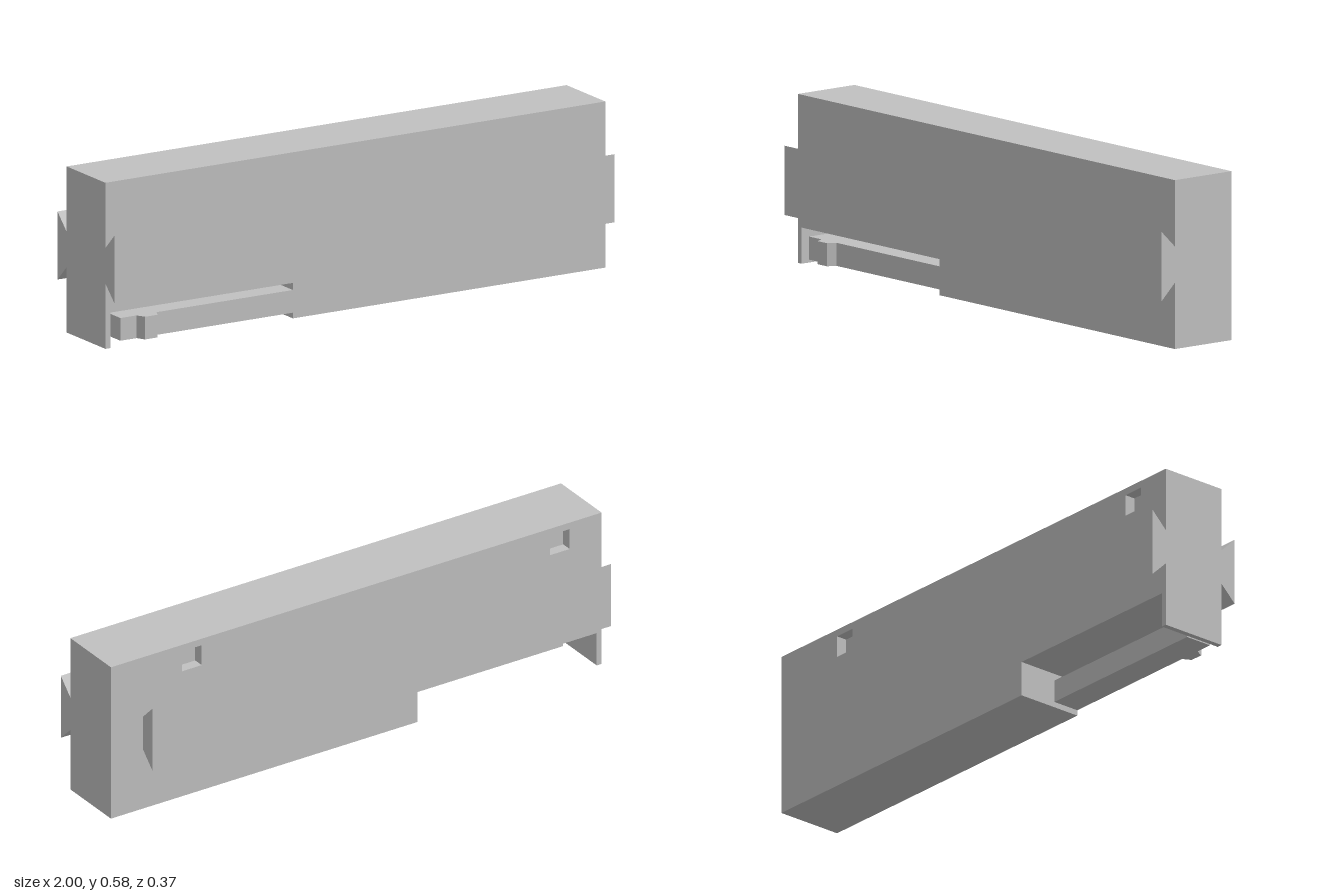
import * as THREE from 'three';

const gray = new THREE.MeshStandardMaterial({ color: 0xc0c0c0 });
gray.name = 'light gray plastic';

const toVectors = (points) => points.map(([x, y]) => new THREE.Vector2(x, y));

// Extrude a straight-sided outline along +z
function prism(points, depth, holes = []) {
  const shape = new THREE.Shape(toVectors(points));
  holes.forEach((h) => shape.holes.push(new THREE.Path(toVectors(h))));
  return new THREE.ExtrudeGeometry(shape, { depth, bevelEnabled: false });
}

export function createModel() {
  const model = new THREE.Group();
  model.name = 'railBlock';
  const add = (name, geometry) => {
    const mesh = new THREE.Mesh(geometry, gray);
    mesh.name = name;
    model.add(mesh);
  };

  const halfZ = 0.125, height = 0.585, pocketDepth = 0.04;

  // Block outline with the latch opening cut from the bottom edge
  const outline = [
    [-1, 0], [-0.98, 0], [-0.98, 0.125], [-0.25, 0.125], [-0.25, 0],
    [1, 0], [1, height], [-1, height],
  ];
  add('body', prism(outline, 2 * halfZ - pocketDepth).translate(0, 0, pocketDepth - halfZ));

  // Back layer with two shallow pockets
  const pockets = [0.67, -0.83].map((x) => [
    [x - 0.04, 0.483], [x - 0.04, 0.56], [x + 0.04, 0.56], [x + 0.04, 0.483],
  ]);
  add('backPanel', prism(outline, pocketDepth, pockets).translate(0, 0, -halfZ));

  // Dovetail rails: profile in z and y, run along x
  const rail = (name, side, length) => {
    const profile = [[halfZ, 0.23], [0.184, 0.173], [0.184, 0.413], [halfZ, 0.355]]
      .map(([z, y]) => [-side * z, y]);
    add(name, prism(profile, length).rotateY(Math.PI / 2).translate(-1, 0, 0));
  };
  rail('frontRail', 1, 2);
  rail('backRail', -1, 1.87);

  // Spring latch arm with its catch, outlined from above
  const arm = [
    [-0.94, 0.022], [-0.25, 0.022], [-0.25, halfZ], [-0.795, halfZ],
    [-0.81, 0.155], [-0.86, 0.155], [-0.875, halfZ], [-0.94, halfZ],
  ].map(([x, z]) => [x, -z]);
  add('latchArm', prism(arm, 0.08).rotateX(-Math.PI / 2).translate(0, 0.02, 0));

  return model;
}
